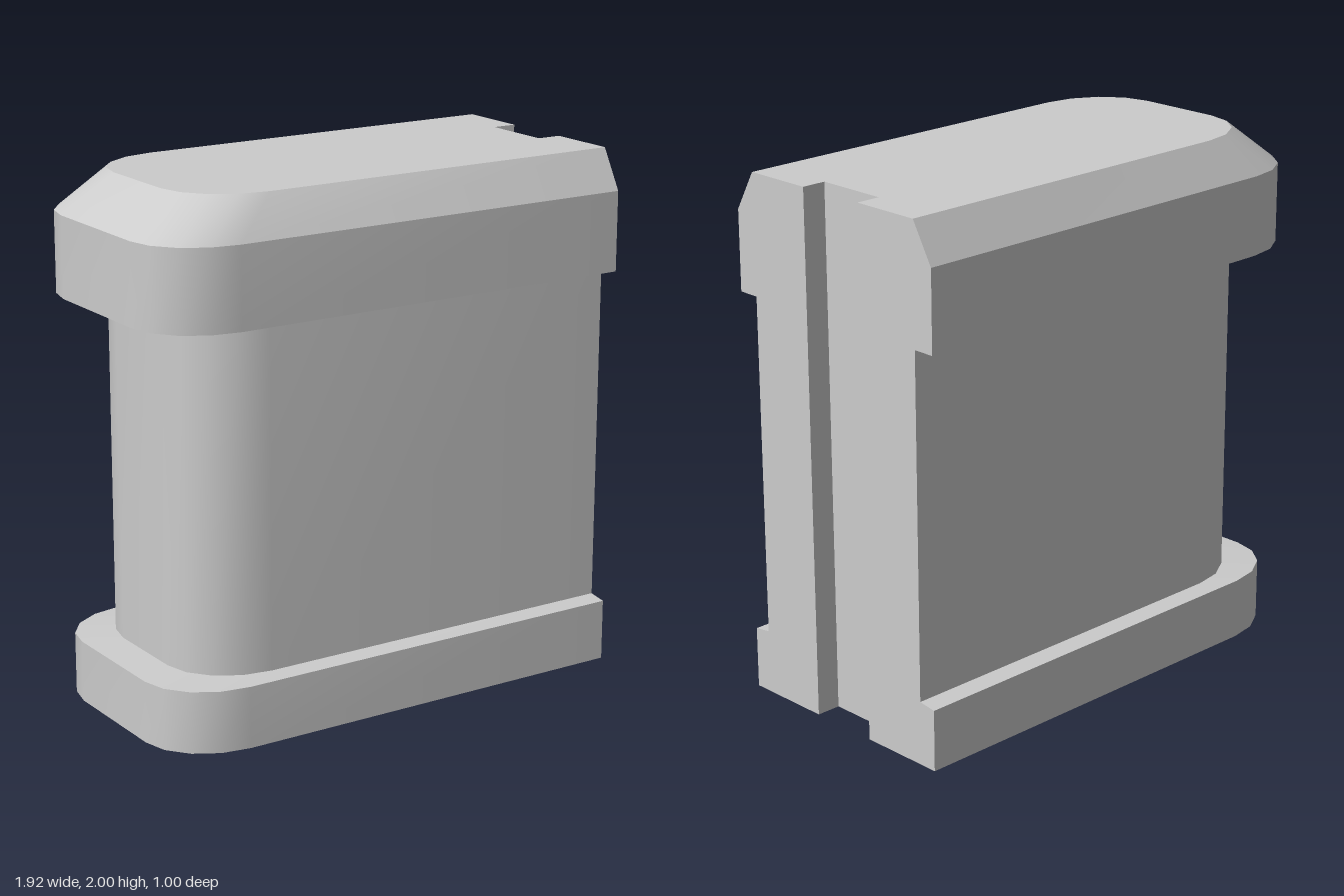
import * as THREE from 'three';
import { toCreasedNormals } from 'three/addons/utils/BufferGeometryUtils.js';

const END = 0.96, SLOT_X = 0.865, SLOT_Z = 0.14;
const RX = 0.29, RZ = 0.25, SEGMENTS = 4;

// Horizontal outline: rounded nose at -x, flat grooved end at +x.
function outline([y, nose, halfWidth]) {
  const p = [[END, halfWidth]];
  const corner = (i, side) => {
    const a = (i / SEGMENTS) * Math.PI / 2;
    p.push([nose + RX * (1 - Math.cos(a)), side * (halfWidth - RZ + RZ * Math.sin(a))]);
  };
  for (let i = SEGMENTS; i >= 0; i--) corner(i, 1);
  for (let i = 0; i <= SEGMENTS; i++) corner(i, -1);
  p.push([END, -halfWidth], [END, -SLOT_Z], [SLOT_X, -SLOT_Z], [SLOT_X, SLOT_Z], [END, SLOT_Z]);
  return p.map(([x, z]) => new THREE.Vector3(x, y, z));
}

// Skin a stack of [y, nose x, half width] sections, closing either end if asked.
function loft(name, sections, { bottom = false, top = false } = {}) {
  const rings = sections.map(outline);
  const positions = [];
  const n = rings[0].length;
  const normal = new THREE.Vector3();
  const tri = (a, b, c) => {
    const t = new THREE.Triangle(a, b, c);
    if (t.getArea() > 1e-7) for (const v of [a, b, c]) positions.push(v.x, v.y, v.z);
  };
  for (let r = 0; r + 1 < rings.length; r++) {
    for (let i = 0; i < n; i++) {
      const j = (i + 1) % n, lo = rings[r], hi = rings[r + 1];
      tri(lo[i], hi[i], lo[j]);
      tri(lo[j], hi[i], hi[j]);
    }
  }
  const close = (ring, up) => {
    const flat = ring.map(v => new THREE.Vector2(v.x, v.z));
    for (const [a, b, c] of THREE.ShapeUtils.triangulateShape(flat, [])) {
      THREE.Triangle.getNormal(ring[a], ring[b], ring[c], normal);
      if (normal.y * up > 0) tri(ring[a], ring[b], ring[c]);
      else tri(ring[a], ring[c], ring[b]);
    }
  };
  if (bottom) close(rings[0], -1);
  if (top) close(rings[rings.length - 1], 1);

  const geometry = new THREE.BufferGeometry();
  geometry.setAttribute('position', new THREE.Float32BufferAttribute(positions, 3));
  const mesh = new THREE.Mesh(
    toCreasedNormals(geometry, 0.47),
    new THREE.MeshStandardMaterial({ color: 0xcccccc })
  );
  mesh.name = name;
  return mesh;
}

export function createModel() {
  const group = new THREE.Group();
  group.name = 'groovedPillar';
  const foot = [0.245, -0.795, 0.415];
  const neck = [1.545, -0.795, 0.415];

  // Plinth with a slightly sloped ledge
  group.add(loft('plinth', [[0, -0.93, 0.485], [0.235, -0.93, 0.485], foot], { bottom: true }));
  // Straight shaft
  group.add(loft('shaft', [foot, neck]));
  // Overhanging cap with a bevelled top
  group.add(loft('cap', [neck, [1.545, -0.96, 0.5], [1.85, -0.96, 0.5], [2, -0.79, 0.415]], { top: true }));
  return group;
}
